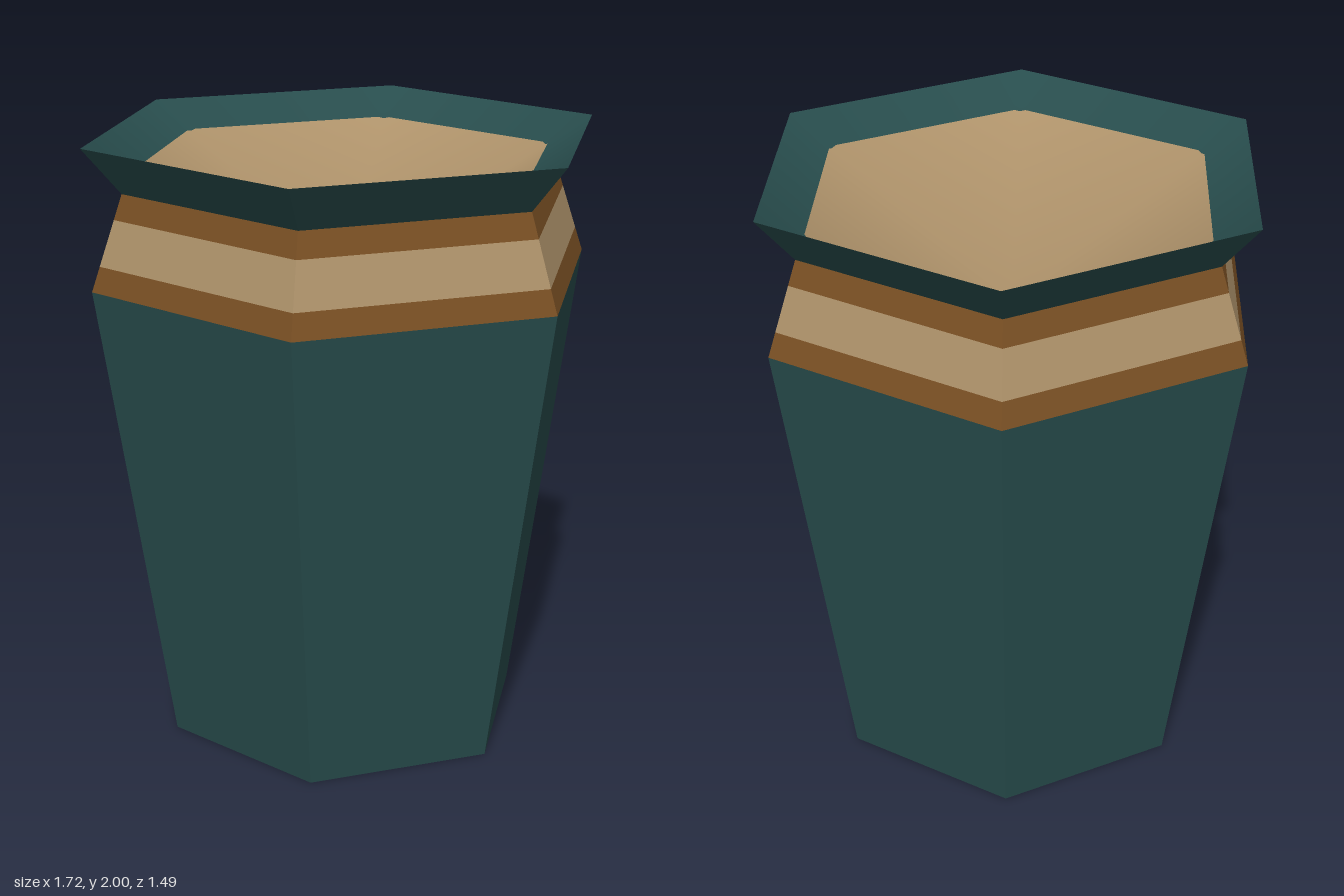
import * as THREE from 'three';

const material = (name, color) => {
  const m = new THREE.MeshStandardMaterial({ color, side: THREE.DoubleSide });
  m.name = name;
  return m;
};

// Open six-sided band with faceted normals, corners on the x axis
function hexBand(name, r0, y0, r1, y1, mat) {
  const g = new THREE.CylinderGeometry(r1, r0, y1 - y0, 6, 1, true, Math.PI / 6)
    .translate(0, (y0 + y1) / 2, 0).toNonIndexed();
  g.computeVertexNormals();
  const mesh = new THREE.Mesh(g, mat);
  mesh.name = name;
  return mesh;
}

const RIM = 0.86, TOP = 2, DEPTH = 0.455;
const STEP = Math.PI / 3, BEVEL = 0.027;

// Angles around the hexagon: each corner plus a point just either side of it
const angles = [];
for (let i = 0; i < 6; i++) for (const d of [-BEVEL, 0, BEVEL]) angles.push(i * STEP + d);

const hexRadius = (corner, a) => {
  const fromCorner = Math.abs(a - Math.round(a / STEP) * STEP);
  return corner * Math.cos(STEP / 2) / Math.cos(STEP / 2 - fromCorner);
};

// Shallow cone surface between two outlines, with smooth normals
function dish(name, inner, outer, mat) {
  const pos = [], nor = [], idx = [], n = angles.length;
  for (const radius of [inner, outer]) {
    for (const a of angles) {
      const r = radius(a), x = r * Math.cos(a), z = r * Math.sin(a);
      const y = TOP - DEPTH * (1 - r / hexRadius(RIM, a));
      const v = new THREE.Vector3(-0.62 * x, 1, -0.62 * z).normalize();
      pos.push(x, y, z);
      nor.push(v.x, v.y, v.z);
    }
  }
  for (let i = 0; i < n; i++) {
    const j = (i + 1) % n;
    idx.push(i, n + j, n + i, i, j, n + j);
  }
  const g = new THREE.BufferGeometry();
  g.setAttribute('position', new THREE.Float32BufferAttribute(pos, 3));
  g.setAttribute('normal', new THREE.Float32BufferAttribute(nor, 3));
  g.setIndex(idx);
  const mesh = new THREE.Mesh(g, mat);
  mesh.name = name;
  return mesh;
}

export function createModel() {
  const teal = material('dark teal', 0x284d4d);
  const brown = material('brown', 0x7a5024);
  const tan = material('tan', 0xae926a);

  const group = new THREE.Group();
  group.name = 'hexagonal pot';

  // Radius of the sloping shoulder at a height
  const shoulder = (y) => THREE.MathUtils.mapLinear(y, 1.545, 1.85, 0.84, 0.735);
  const band = (name, y0, y1, mat) => hexBand(name, shoulder(y0), y0, shoulder(y1), y1, mat);

  // Flared body, striped shoulder and lip
  group.add(
    hexBand('body', 0.605, 0, 0.84, 1.545, teal),
    band('lowerStripe', 1.545, 1.625, brown),
    band('middleStripe', 1.625, 1.77, tan),
    band('upperStripe', 1.77, 1.85, brown),
    hexBand('lip', 0.735, 1.85, RIM, TOP, teal)
  );

  // Sunken top: tan filling with blunted corners inside a teal border
  const edge = (a) => Math.min(hexRadius(0.704, a), 0.695);
  group.add(
    dish('innerRim', edge, (a) => hexRadius(RIM, a), teal),
    dish('filling', () => 0, edge, tan)
  );
  return group;
}
